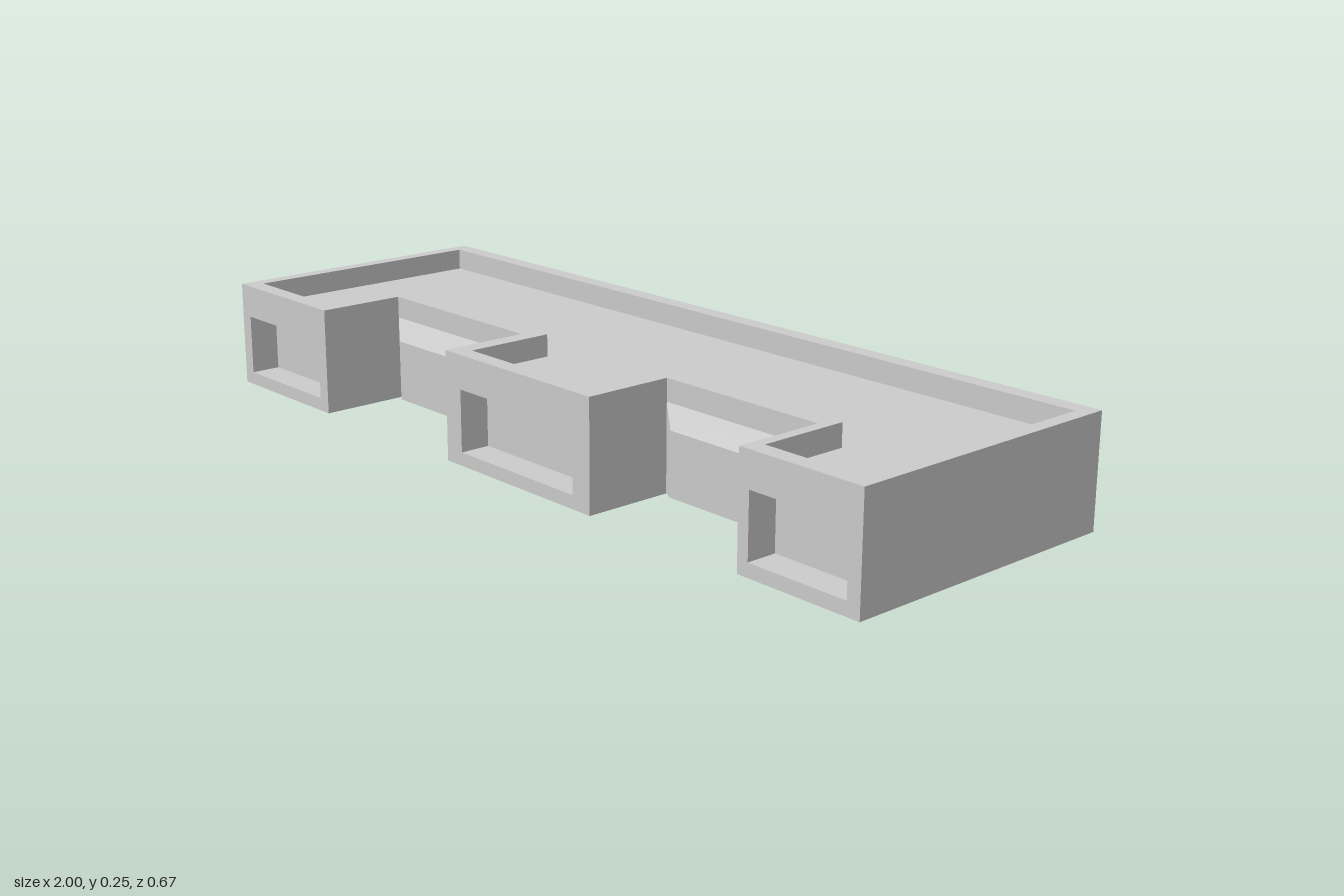
import * as THREE from 'three';

const H = 0.245, FLOOR = 0.195, FRONT = 0.335, NOTCH = 0.13;

// Plan outline (x, z): two notches cut into the front
const outline = (x, back, front, notch, [a, b, c, d]) => [
  [-x, back], [-x, front], [a, front], [a, notch], [b, notch], [b, front],
  [c, front], [c, notch], [d, notch], [d, front], [x, front], [x, back],
];
const outer = outline(1, -FRONT, FRONT, NOTCH, [-0.64, -0.177, 0.29, 0.702]);
const inner = outline(0.968, -0.295, 0.295, 0.09, [-0.672, -0.137, 0.247, 0.727]);

const material = new THREE.MeshStandardMaterial({ color: 0xcccccc, flatShading: true });

function addMesh(group, name, geometry) {
  const mesh = new THREE.Mesh(geometry, material);
  mesh.name = name;
  group.add(mesh);
}

// Geometry from four-cornered faces, corners counter-clockwise from outside
function fromQuads(quads) {
  const pos = quads.flatMap(([a, b, c, d]) => [a, b, c, a, c, d].flat());
  const g = new THREE.BufferGeometry();
  g.setAttribute('position', new THREE.Float32BufferAttribute(pos, 3));
  g.computeVertexNormals();
  return g;
}

// Horizontal face at height y, facing up or down
function flat(points, y, up, hole) {
  const s = up ? -1 : 1;
  const toPath = (pts) => pts.map(([x, z]) => new THREE.Vector2(x, s * z));
  const shape = new THREE.Shape(toPath(points));
  if (hole) shape.holes.push(new THREE.Path(toPath(hole)));
  return new THREE.ShapeGeometry(shape).rotateX(s * Math.PI / 2).translate(0, y, 0);
}

const edges = (pts) => pts.map((p, i) => [p, pts[(i + 1) % pts.length]]);
const wall = ([a, b], y0, y1) =>
  [[a[0], y0, a[1]], [b[0], y0, b[1]], [b[0], y1, b[1]], [a[0], y1, a[1]]];

// Front wall made of successive rectangles [x0, x1, y0, y1, z], closed by the last
function steppedWall(rects) {
  const rings = rects.map(([x0, x1, y0, y1, z]) =>
    [[x0, y0, z], [x1, y0, z], [x1, y1, z], [x0, y1, z]]);
  const quads = [rings[rings.length - 1]];
  for (let r = 0; r + 1 < rings.length; r++) {
    for (let i = 0; i < 4; i++) {
      const j = (i + 1) % 4;
      quads.push([rings[r][i], rings[r][j], rings[r + 1][j], rings[r + 1][i]]);
    }
  }
  return fromQuads(quads);
}

export function createModel() {
  const group = new THREE.Group();
  group.name = 'building';

  // Underside, roof deck and parapet
  addMesh(group, 'underside', flat(outer, 0, false));
  addMesh(group, 'roofDeck', flat(inner, FLOOR, true));
  addMesh(group, 'parapetTop', flat(outer, H, true, inner));
  addMesh(group, 'parapetInside',
    fromQuads(edges([...inner].reverse()).map((e) => wall(e, FLOOR, H))));

  // Plain outer walls: ends, back and notch sides
  const isFront = ([a, b]) => a[1] === b[1] && a[1] > 0;
  addMesh(group, 'outerWalls',
    fromQuads(edges(outer).filter((e) => !isFront(e)).map((e) => wall(e, 0, H))));

  // Front walls, left to right: recessed panels alternating with splayed bays
  const openings = [[-0.968, -0.671], [-0.538, -0.277], [-0.127, 0.238], [0.377, 0.613], [0.729, 0.969]];
  edges(outer).filter(isFront).forEach(([[x0, z], [x1]], i) => {
    const [p0, p1] = openings[i];
    const recessed = z === FRONT;
    const base = recessed ? [p0, p1, 0.03, 0.169, z] : [x0, x1, 0, FLOOR, z];
    const face = [p0, p1, 0.03, 0.169, z + (recessed ? -0.07 : 0.07)];
    addMesh(group, recessed ? 'recessedPanelWall' : 'splayedBayWall',
      steppedWall([[x0, x1, 0, H, z], base, face]));
  });
  return group;
}
